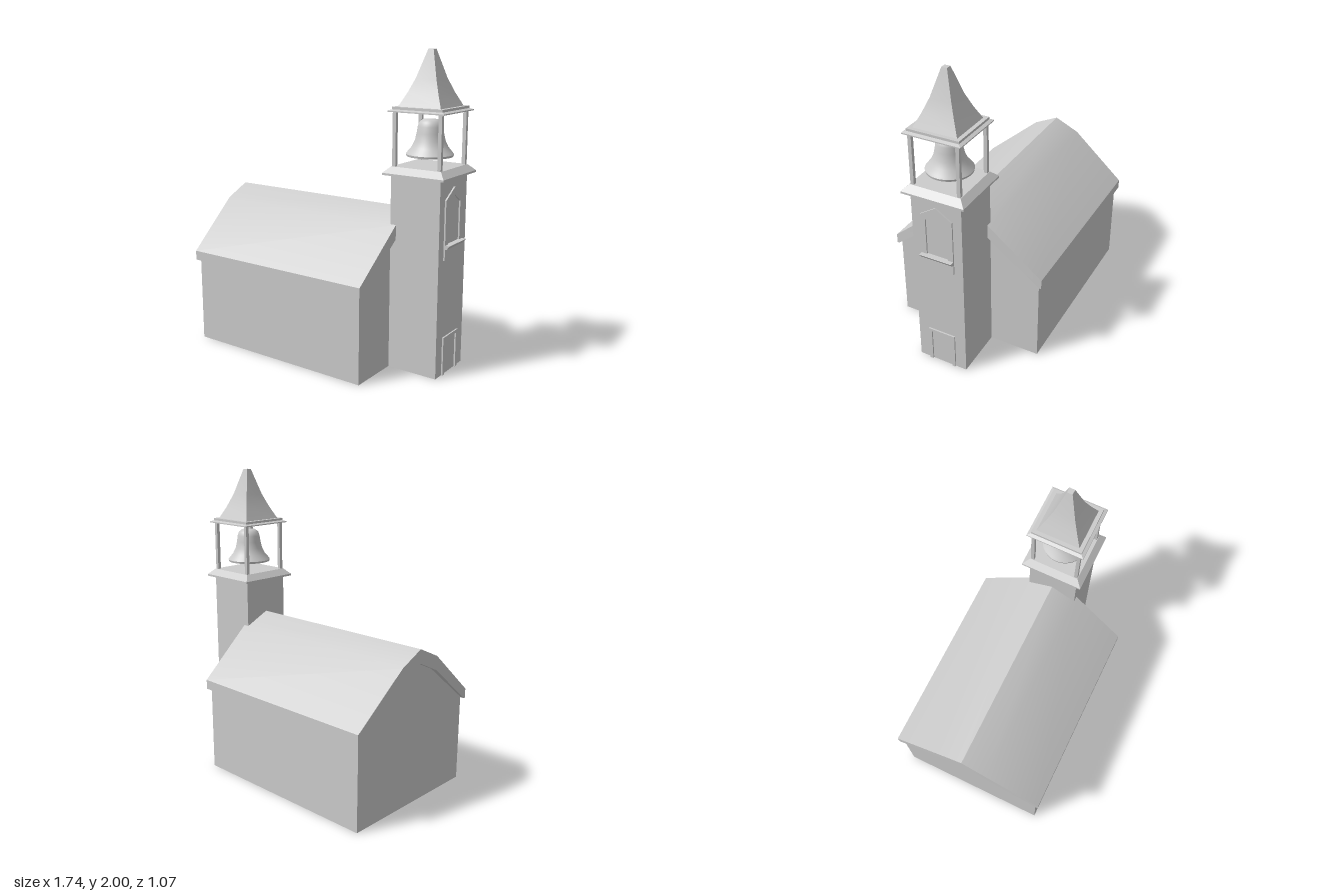
import * as THREE from 'three';
import { toCreasedNormals } from 'three/addons/utils/BufferGeometryUtils.js';

const solid = new THREE.MeshStandardMaterial({ color: 0xcccccc });
const thin = new THREE.MeshStandardMaterial({ color: 0xcccccc, side: THREE.DoubleSide });
const TOWER_X = 0.655, TOWER_HALF = 0.17, FACE_X = TOWER_X + TOWER_HALF;
const NAVE_BACK = -0.83, NAVE_FRONT = TOWER_X - TOWER_HALF;

const points = (list) => list.map(([a, b]) => new THREE.Vector2(a, b));
const shapeOf = (list) => new THREE.Shape(points(list));
// Closes a half profile symmetrically about its vertical axis
const mirrored = (half) => [...half, ...half.filter(([a]) => a > 0).reverse().map(([a, b]) => [-a, b])];

export function createModel() {
  const model = new THREE.Group();

  function add(parent, name, geometry, material = solid) {
    const mesh = new THREE.Mesh(geometry, material);
    mesh.name = name;
    parent.add(mesh);
    return mesh;
  }

  function group(name, x = 0) {
    const g = new THREE.Group();
    g.name = name;
    g.position.x = x;
    model.add(g);
    return g;
  }

  // Section drawn in z and y, extruded along +x
  function alongX(shape, depth) {
    return new THREE.ExtrudeGeometry(shape, { depth, bevelEnabled: false }).rotateY(Math.PI / 2);
  }

  // Four-sided lathe from [half width, y] pairs
  function squareLathe(profile) {
    const pts = profile.map(([w, y]) => new THREE.Vector2(w * Math.SQRT2, y));
    const geo = new THREE.LatheGeometry(pts, 4).rotateY(Math.PI / 4);
    return toCreasedNormals(geo, 0.4);
  }

  // Thin upright wall
  function wall(parent, name, width, y0, y1, x, z, turn) {
    const mesh = add(parent, name, new THREE.PlaneGeometry(width, y1 - y0), thin);
    mesh.position.set(x, (y0 + y1) / 2, z);
    mesh.rotation.y = turn;
  }

  // Nave: open-bottomed shell with gabled ends
  const nave = group('nave');
  const naveLength = NAVE_FRONT - NAVE_BACK;
  for (const s of [1, -1]) {
    wall(nave, s > 0 ? 'frontSideWall' : 'backSideWall', naveLength, 0, 0.585,
      (NAVE_FRONT + NAVE_BACK) / 2, 0.51 * s, s > 0 ? 0 : Math.PI);
  }
  const gable = mirrored([[0.51, 0], [0.51, 0.585], [0.17, 0.855], [0, 0.935]]);
  const rear = add(nave, 'rearGableWall', new THREE.ShapeGeometry(shapeOf(gable)), thin);
  rear.rotation.y = -Math.PI / 2;
  rear.position.x = NAVE_BACK;
  for (const s of [1, -1]) {
    // End wall pieces on each side of the tower
    const piece = [[0.51, 0], [0.51, 0.585], [0.17, 0.855], [0.17, 0]].map(([z, y]) => [z * s, y]);
    const end = add(nave, 'towerEndWall', new THREE.ShapeGeometry(shapeOf(piece)), thin);
    end.rotation.y = Math.PI / 2;
    end.position.x = NAVE_FRONT;
  }

  // Roof: bent slopes, ends drawn in slightly toward the eaves
  const outer = [[0.535, 0.567], [0.535, 0.63], [0.17, 0.94], [0, 1.02]];
  const inner = [[0, 0.93], [0.17, 0.848], [0.52, 0.567]];
  const flip = ([z, y]) => [-z, y];
  const section = [...outer, ...outer.slice(0, 3).reverse().map(flip),
    ...inner.slice(1).reverse().map(flip), ...inner];
  const roofGeo = alongX(shapeOf(section), 1.395).translate(-0.87, 0, 0);
  const pos = roofGeo.attributes.position;
  for (let i = 0; i < pos.count; i++) {
    const x = pos.getX(i);
    const inset = 0.02 * Math.max(0, (Math.abs(pos.getZ(i)) - 0.17) / 0.365);
    pos.setX(i, x < 0 ? x + inset : x - inset);
  }
  add(nave, 'roof', toCreasedNormals(roofGeo, 0.4));

  // Tower shaft, open below and toward the nave
  const tower = group('tower', TOWER_X);
  const w = TOWER_HALF;
  wall(tower, 'towerFace', 2 * w, 0, 1.255, w, 0, Math.PI / 2);
  wall(tower, 'towerSide', 2 * w, 0, 1.255, 0, w, 0);
  wall(tower, 'towerSide', 2 * w, 0, 1.255, 0, -w, Math.PI);
  wall(tower, 'towerRear', 2 * w, 0.85, 1.255, -w, 0, -Math.PI / 2);

  // Belfry: cornice, posts, bell, upper plate and spire
  const belfry = group('belfry', TOWER_X);
  add(belfry, 'cornice', squareLathe([[0, 1.25], [0.21, 1.25], [0.21, 1.263], [0.17, 1.302], [0, 1.302]]));
  for (const x of [-0.155, 0.155]) {
    for (const z of [-0.155, 0.155]) {
      add(belfry, 'post', new THREE.BoxGeometry(0.023, 0.345, 0.023)).position.set(x, 1.47, z);
    }
  }
  add(belfry, 'upperPlate', squareLathe([[0, 1.632], [0.19, 1.632], [0.19, 1.639], [0.17, 1.647],
    [0.17, 1.662], [0, 1.662]]));
  add(belfry, 'spire', squareLathe([[0.145, 1.66], [0.105, 1.742], [0.069, 1.83], [0.018, 2], [0, 2]]));

  const bellProfile = points([[0, 1.54], [0.06, 1.53], [0.07, 1.46], [0.1, 1.4], [0.13, 1.36],
    [0.143, 1.36], [0.146, 1.373], [0.137, 1.385], [0.112, 1.415], [0.093, 1.455], [0.083, 1.5],
    [0.077, 1.54], [0.068, 1.567], [0.048, 1.582], [0, 1.585]]);
  add(belfry, 'bell', toCreasedNormals(new THREE.LatheGeometry(bellProfile, 40), 0.7));

  // Pointed window with sill on the tower face
  const windowFrame = shapeOf(mirrored([[0.11, 0.75], [0.11, 1.12], [0, 1.19]]));
  windowFrame.holes.push(new THREE.Path(points(mirrored([[0.073, 0.84], [0.073, 1.09], [0, 1.14]]))));
  add(model, 'windowFrame', alongX(windowFrame, 0.01)).position.x = FACE_X;
  const sill = shapeOf([[0.82, 0.82], [0.845, 0.82], [0.865, 0.845], [0.82, 0.845]]);
  add(model, 'windowSill', new THREE.ExtrudeGeometry(sill, { depth: 0.22, bevelEnabled: false }))
    .position.z = -0.11;

  // Door frame at the foot of the tower
  const door = [[0.095, 0], [0.095, 0.25], [-0.095, 0.25], [-0.095, 0],
    [-0.072, 0], [-0.072, 0.23], [0.072, 0.23], [0.072, 0]];
  add(model, 'doorFrame', alongX(shapeOf(door), 0.01)).position.x = FACE_X;

  return model;
}
